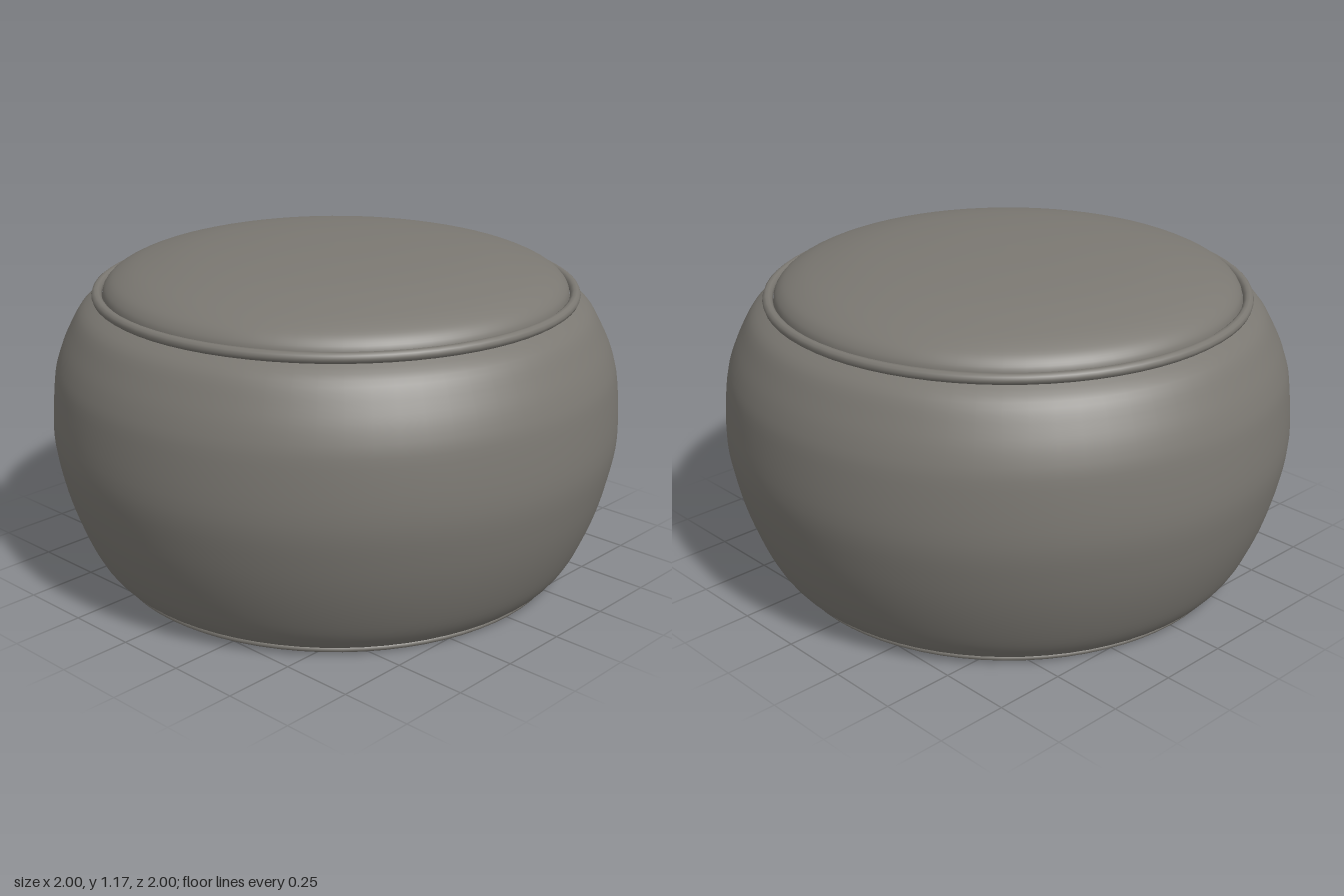
import * as THREE from 'three';

const SEGMENTS = 72;

// Smooth surface of revolution through [radius, height] points, bottom to top
function turned(name, points, material, divisions) {
  const curve = new THREE.SplineCurve(points.map(([r, y]) => new THREE.Vector2(r, y)));
  const profile = curve.getPoints(divisions);
  profile.forEach((p) => { p.x = Math.max(p.x, 0); });
  const mesh = new THREE.Mesh(new THREE.LatheGeometry(profile, SEGMENTS), material);
  mesh.name = name;
  return mesh;
}

// Round cord sewn along a seam
function piping(name, radius, tube, y, material) {
  const mesh = new THREE.Mesh(new THREE.TorusGeometry(radius, tube, 10, SEGMENTS), material);
  mesh.rotation.x = Math.PI / 2;
  mesh.position.y = y;
  mesh.name = name;
  return mesh;
}

export function createModel() {
  const fabric = new THREE.MeshStandardMaterial({ color: 0x7b7872 });
  fabric.name = 'warm grey fabric';

  const pouf = new THREE.Group();
  pouf.name = 'pouf';

  // Bulging side panel
  pouf.add(turned('sidePanel', [
    [0.79, 0.015], [0.83, 0.04], [0.88, 0.11], [0.935, 0.24], [0.975, 0.38],
    [0.998, 0.53], [0.986, 0.71], [0.965, 0.8], [0.93, 0.88], [0.885, 0.955], [0.82, 1.0],
  ], fabric, 40));

  // Domed seat cushion
  pouf.add(turned('seatCushion', [
    [0.81, 1.0], [0.8, 1.035], [0.76, 1.07], [0.67, 1.105],
    [0.5, 1.14], [0.25, 1.161], [0, 1.166],
  ], fabric, 30));

  // Seam cords around the seat and the base
  pouf.add(piping('seatPiping', 0.828, 0.018, 1.008, fabric));
  pouf.add(piping('basePiping', 0.79, 0.012, 0.012, fabric));

  // Flat underside
  const base = new THREE.Mesh(new THREE.CircleGeometry(0.79, SEGMENTS), fabric);
  base.name = 'base';
  base.rotation.x = Math.PI / 2;
  base.position.y = 0.008;
  pouf.add(base);

  return pouf;
}
